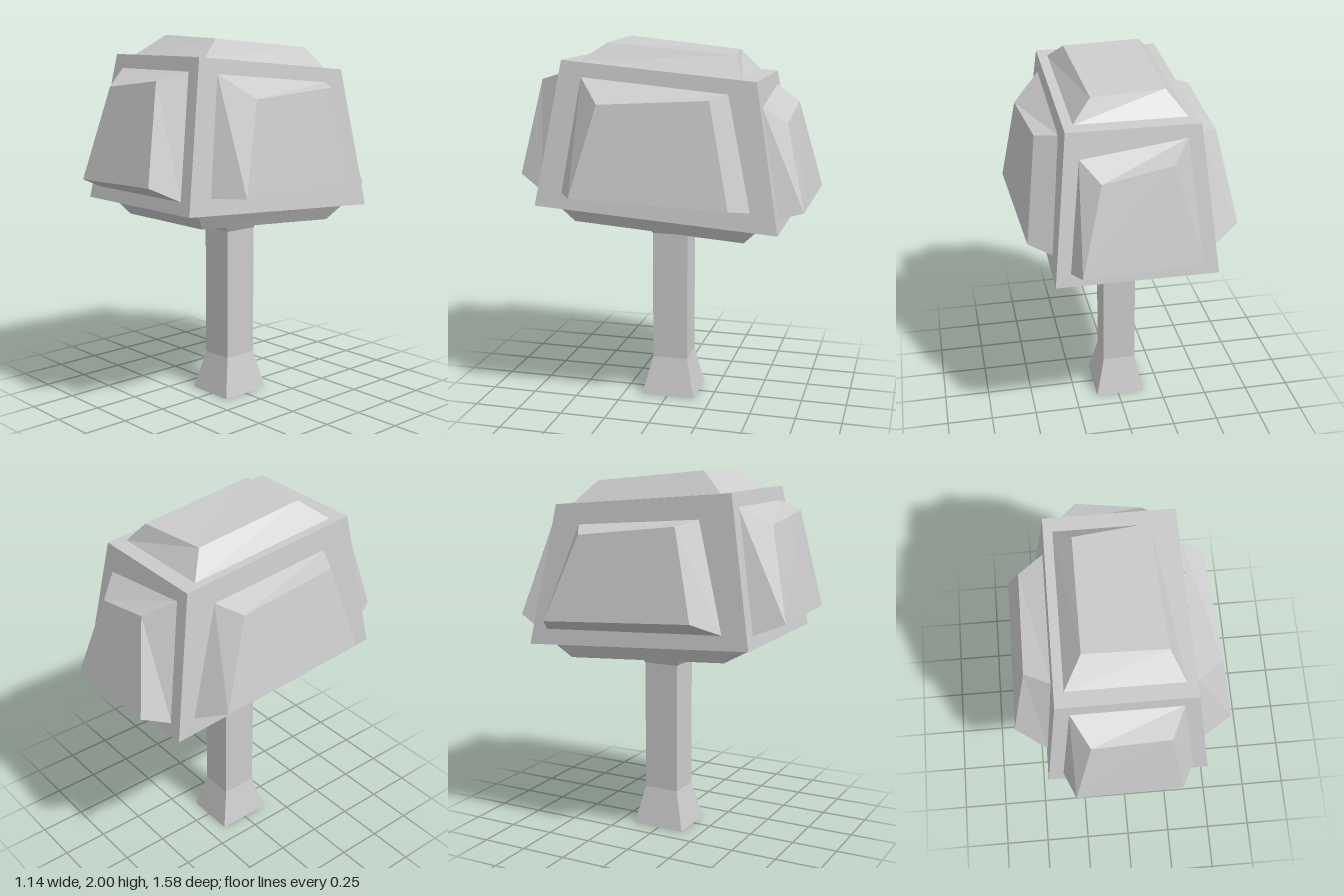
import * as THREE from 'three';

// Faceted solid from a stack of four-cornered rings, counter-clockwise seen from the last ring's side.
function loft(name, rings, { startCap = false, endCap = true, side = THREE.FrontSide } = {}) {
  const pos = [];
  const quad = (a, b, c, d) => pos.push(...a, ...b, ...c, ...a, ...c, ...d);
  for (let r = 0; r < rings.length - 1; r++) {
    const lo = rings[r], hi = rings[r + 1];
    for (let i = 0; i < 4; i++) {
      const j = (i + 1) % 4;
      quad(lo[i], lo[j], hi[j], hi[i]);
    }
  }
  if (startCap) quad(...[...rings[0]].reverse());
  if (endCap) quad(...rings[rings.length - 1]);
  const geo = new THREE.BufferGeometry();
  geo.setAttribute('position', new THREE.Float32BufferAttribute(pos, 3));
  geo.computeVertexNormals();
  const mat = new THREE.MeshStandardMaterial({ color: 0xcccccc, flatShading: true, side });
  const mesh = new THREE.Mesh(geo, mat);
  mesh.name = name;
  return mesh;
}

// Rectangular ring, counter-clockwise from above, with its own front and back height.
const ring = (x0, x1, zBack, zFront, yFront, yBack = yFront) => [
  [x1, yFront, zFront], [x1, yBack, zBack], [x0, yBack, zBack], [x0, yFront, zFront],
];

export function createModel() {
  const tree = new THREE.Group();
  tree.name = 'tree';

  // Trunk: square post, flared at both ends, open underneath
  tree.add(loft('trunk', [
    ring(-0.15, 0.125, -0.155, 0.145, 0),
    ring(-0.105, 0.077, -0.105, 0.092, 0.215),
    ring(-0.105, 0.077, -0.105, 0.092, 0.938),
    ring(-0.147, 0.12, -0.137, 0.137, 1.01),
  ], { side: THREE.DoubleSide }));

  // Crown: tapered block, leaning down towards the back
  tree.add(loft('crown', [
    ring(-0.418, 0.418, -0.655, 0.648, 1.135, 1.048),
    ring(-0.336, 0.336, -0.52, 0.51, 1.9, 1.81),
  ], { startCap: true }));

  // Raised foliage panels: base corners on the crown, then outer corners
  const panels = {
    topFoliage: [
      ring(-0.29, 0.287, -0.44, 0.433, 1.89, 1.815),
      [[0.215, 1.985, 0.295], [0.19, 1.93, -0.385], [-0.165, 1.935, -0.34], [-0.195, 2, 0.29]]
        .map(([x, y, z]) => [x === -0.165 ? -0.195 : x, y, z]),
    ],
    bottomFoliage: [
      ring(-0.355, 0.355, -0.55, 0.54, 1.13, 1.06).reverse(),
      ring(-0.303, 0.3, -0.46, 0.465, 1.035, 0.97).reverse(),
    ],
    frontFoliage: [
      [[-0.337, 1.2, 0.635], [0.34, 1.2, 0.635], [0.272, 1.83, 0.52], [-0.272, 1.83, 0.52]],
      [[-0.277, 1.26, 0.787], [0.268, 1.275, 0.78], [0.2, 1.785, 0.67], [-0.183, 1.74, 0.67]],
    ],
    backFoliage: [
      [[0.34, 1.115, -0.64], [-0.34, 1.115, -0.64], [-0.27, 1.745, -0.53], [0.275, 1.68, -0.54]],
      [[0.3, 1.147, -0.77], [-0.297, 1.183, -0.793], [-0.165, 1.665, -0.67], [0.185, 1.59, -0.66]],
    ],
    leftFoliage: [
      [[0.408, 1.21, 0.5], [0.41, 1.157, -0.51], [0.35, 1.745, -0.38], [0.345, 1.814, 0.4]],
      [[0.567, 1.217, 0.405], [0.525, 1.183, -0.42], [0.46, 1.724, -0.307], [0.493, 1.692, 0.27]],
    ],
    rightFoliage: [
      [[-0.408, 1.14, -0.55], [-0.408, 1.2, 0.5], [-0.35, 1.765, 0.34], [-0.35, 1.71, -0.37]],
      [[-0.567, 1.217, -0.46], [-0.57, 1.275, 0.4], [-0.48, 1.738, 0.272], [-0.48, 1.672, -0.29]],
    ],
  };
  for (const [name, rings] of Object.entries(panels)) tree.add(loft(name, rings));

  return tree;
}
